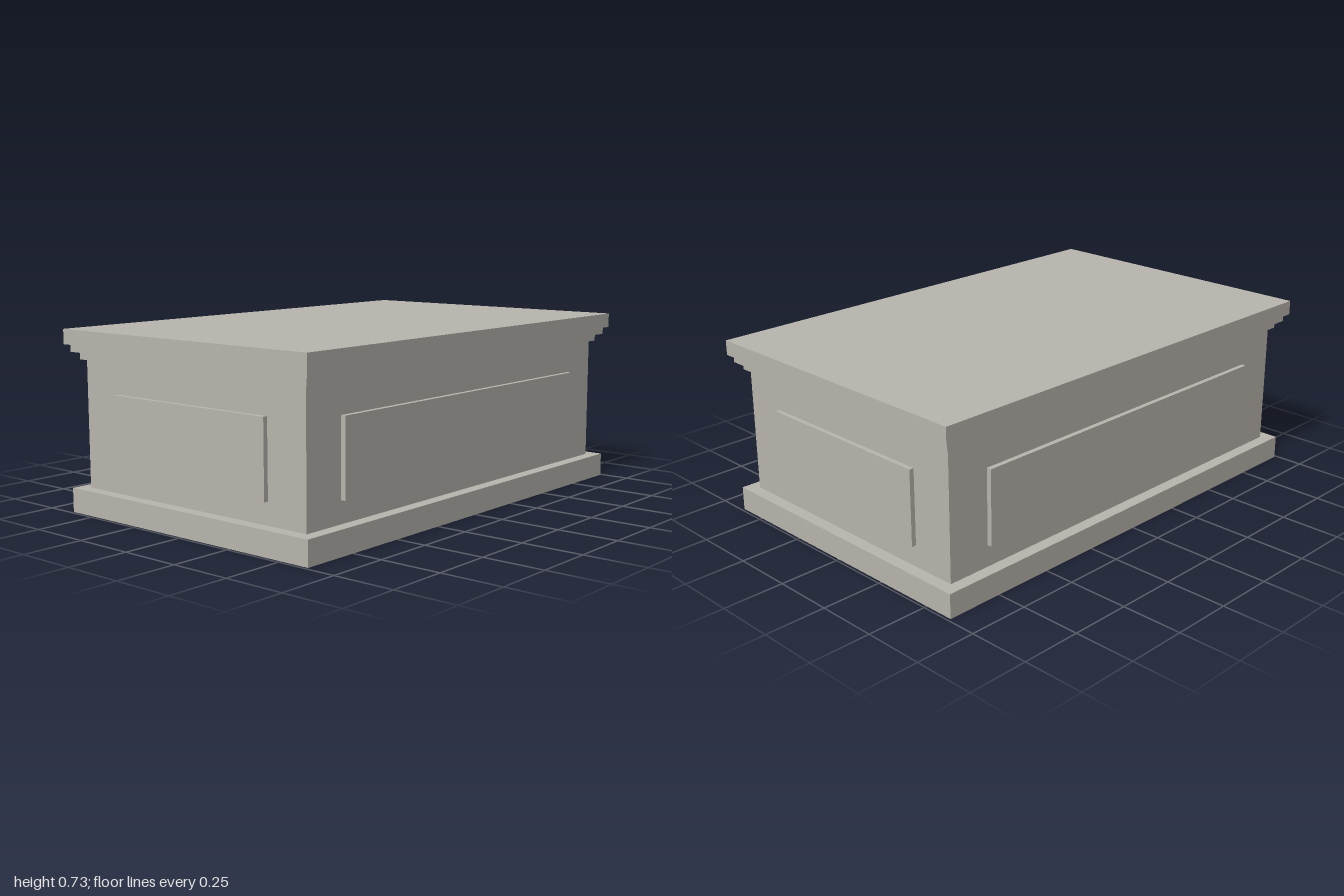
import * as THREE from 'three';

export function createModel() {
  const group = new THREE.Group();
  group.name = 'pedestal';
  const stone = new THREE.MeshStandardMaterial({ color: 0xb8b4ad });
  stone.name = 'stone';

  // Box given by its half sizes in x and z and its bottom and top heights
  function block(name, hx, hz, y0, y1, x = 0, z = 0) {
    const mesh = new THREE.Mesh(new THREE.BoxGeometry(hx * 2, y1 - y0, hz * 2), stone);
    mesh.name = name;
    mesh.position.set(x, (y0 + y1) / 2, z);
    group.add(mesh);
  }

  // Plinth, body and stepped cornice under the top slab
  block('plinth', 0.625, 0.988, 0, 0.098);
  block('body', 0.575, 0.938, 0.098, 0.61);
  block('lowerMoulding', 0.594, 0.957, 0.61, 0.64);
  block('upperMoulding', 0.619, 0.982, 0.64, 0.67);
  block('topSlab', 0.637, 1, 0.67, 0.73);

  // Raised panels on all four sides, sunk slightly into the body
  for (const s of [-1, 1]) {
    block(s > 0 ? 'frontPanel' : 'backPanel', 0.394, 0.0145, 0.185, 0.487, 0, s * 0.9425);
    block(s > 0 ? 'leftPanel' : 'rightPanel', 0.0145, 0.757, 0.185, 0.487, s * 0.5805, 0);
  }
  return group;
}
